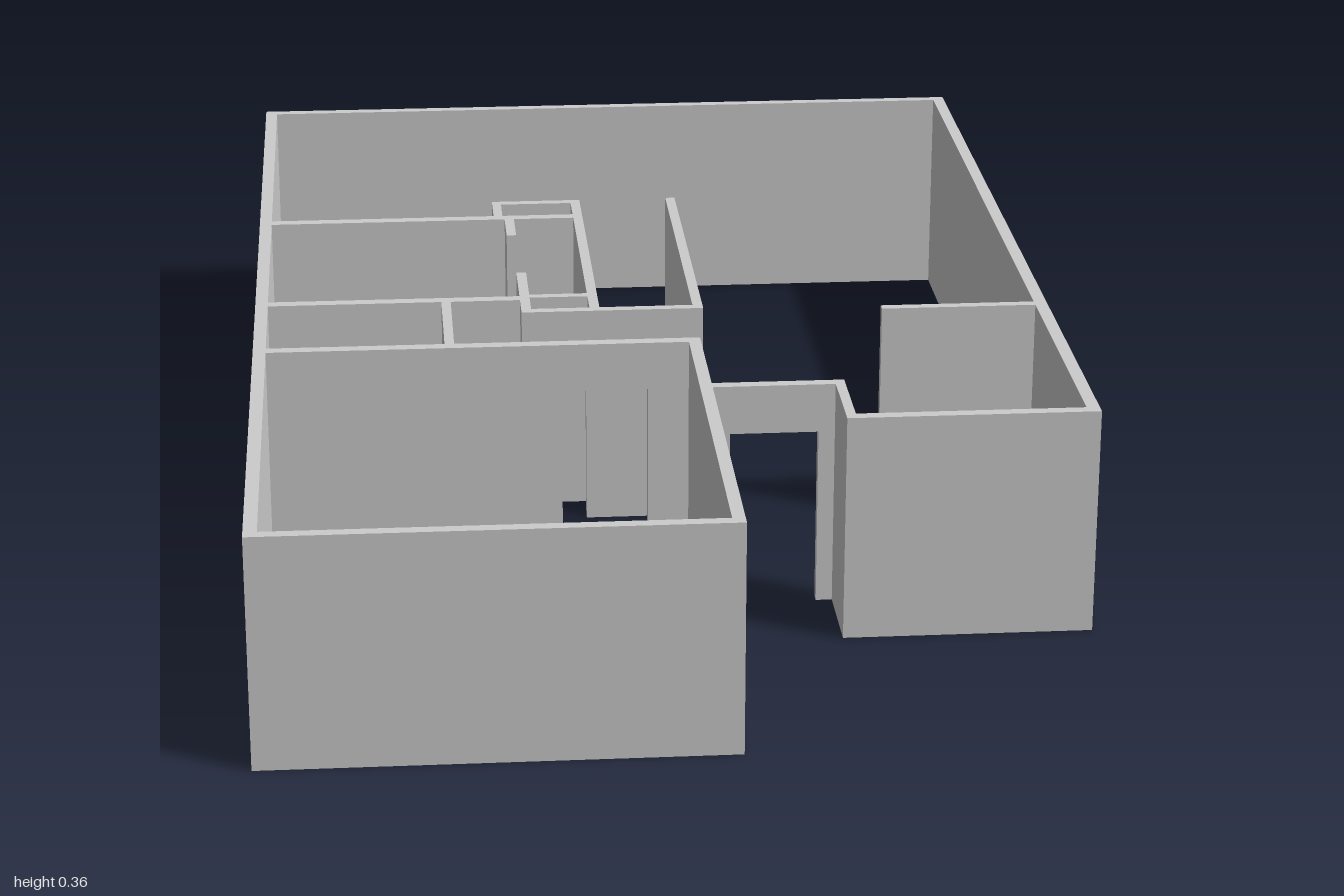
import * as THREE from 'three';

const HEIGHT = 0.357;
const DOOR_HEIGHT = 0.28;
const material = new THREE.MeshStandardMaterial({ color: 0xcccccc });

// Box given by its plan rectangle and vertical range
function block(x0, x1, z0, z1, y0 = 0, y1 = HEIGHT) {
  const geometry = new THREE.BoxGeometry(x1 - x0, y1 - y0, z1 - z0);
  geometry.translate((x0 + x1) / 2, (y0 + y1) / 2, (z0 + z1) / 2);
  return new THREE.Mesh(geometry, material);
}

// Wall with an optional doorway [start, end] along its longer direction
function wall(name, [x0, x1, z0, z1], door) {
  const group = new THREE.Group();
  group.name = name;
  const add = (part, mesh) => {
    mesh.name = part;
    group.add(mesh);
  };
  if (!door) {
    add('panel', block(x0, x1, z0, z1));
    return group;
  }
  const [a, b] = door;
  const alongX = x1 - x0 > z1 - z0;
  const piece = (s, e, y0) =>
    alongX ? block(s, e, z0, z1, y0) : block(x0, x1, s, e, y0);
  add('firstSide', piece(alongX ? x0 : z0, a, 0));
  add('secondSide', piece(b, alongX ? x1 : z1, 0));
  add('doorHeader', piece(a, b, DOOR_HEIGHT));
  return group;
}

export function createModel() {
  const model = new THREE.Group();
  model.name = 'floorPlan';

  // Plan rectangles: x0, x1, z0, z1, then the doorway if there is one
  const walls = [
    // Outer shell
    ['rightOuterWall', [-0.633, -0.613, -1, 1]],
    ['leftOuterWall', [0.611, 0.631, -1, 0.62]],
    ['backOuterWall', [-0.613, 0.611, -1, -0.982]],
    ['frontRoomFrontWall', [-0.613, 0.063, 0.982, 1]],
    ['frontRoomSideWall', [0.044, 0.063, 0.26, 0.982]],
    ['entryWall', [0.063, 0.265, 0.46, 0.478], [0.09, 0.225]],
    ['entryReturnWall', [0.25, 0.265, 0.478, 0.62]],
    ['livingFrontWall', [0.265, 0.611, 0.602, 0.62]],
    // Rooms along the right side
    ['frontRoomBackWall', [-0.613, 0.044, 0.26, 0.279], [-0.155, -0.02]],
    ['bathroomWall', [-0.336, -0.321, 0.067, 0.26], [0.1, 0.23]],
    ['bedroomFrontWall', [-0.613, -0.194, 0.048, 0.067], [-0.307, -0.217]],
    ['bedroomBackWall', [-0.613, -0.101, -0.36, -0.341]],
    // Closets
    ['closetSpineWall', [-0.101, -0.085, -0.437, 0.11]],
    ['wardrobeFrontStub', [-0.21, -0.194, -0.066, 0.11]],
    ['wardrobeBackStub', [-0.218, -0.202, -0.341, -0.256]],
    ['wardrobeEndWall', [-0.194, -0.101, 0.042, 0.057]],
    ['linenDoorWall', [-0.236, -0.101, -0.437, -0.421], [-0.213, -0.112]],
    ['linenSideWall', [-0.236, -0.221, -0.421, -0.36]],
    // Central corridor and kitchen divider
    ['corridorEndWall', [-0.21, 0.08, 0.11, 0.126], [-0.188, -0.108]],
    ['corridorSideWall', [0.064, 0.08, -0.437, 0.11]],
    ['kitchenDivider', [0.364, 0.611, 0.135, 0.151]],
  ];
  for (const [name, plan, door] of walls) model.add(wall(name, plan, door));
  return model;
}
